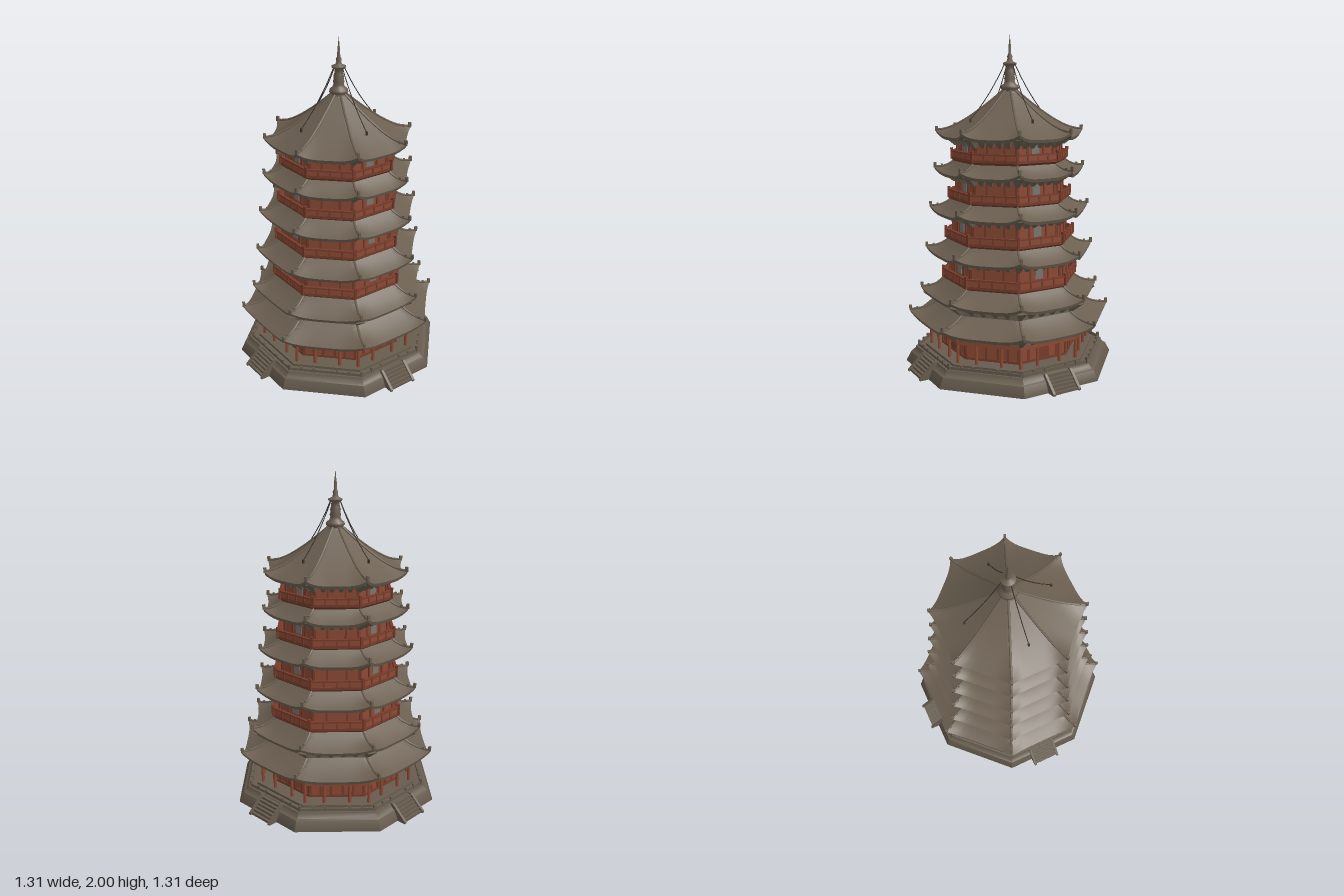
import * as THREE from 'three';
import { mergeGeometries, toCreasedNormals } from 'three/addons/utils/BufferGeometryUtils.js';

const T = Math.tan(Math.PI / 8), C = Math.cos(Math.PI / 8);
const mat = (name, color, side = THREE.FrontSide) => {
  const m = new THREE.MeshStandardMaterial({ color, side });
  m.name = name;
  return m;
};

// Eight-sided loft. Profile points are [apothem, y, cornerLift], from inner top, outwards, down and back in.
function octLoft(profile, n = 1) {
  const pos = [], idx = [], rows = profile.length, v = new THREE.Vector3(), up = new THREE.Vector3(0, 1, 0);
  for (let k = 0; k < 8; k++) {
    const start = pos.length / 3;
    for (const [r, y, lift = 0] of profile) {
      for (let i = 0; i <= n; i++) {
        const u = (i / n) * 2 - 1, e = Math.abs(u) ** 4;
        const rr = r + lift * 0.4 * e;
        v.set(u * rr * T, y + lift * e, rr).applyAxisAngle(up, k * Math.PI / 4);
        pos.push(v.x, v.y, v.z);
      }
    }
    for (let j = 0; j < rows - 1; j++) for (let i = 0; i < n; i++) {
      const a = start + j * (n + 1) + i, c = a + n + 1;
      idx.push(a, c, a + 1, a + 1, c, c + 1);
    }
  }
  const g = new THREE.BufferGeometry();
  g.setAttribute('position', new THREE.Float32BufferAttribute(pos, 3));
  g.setIndex(idx);
  return toCreasedNormals(g, 0.5);
}
const band = (rOut, rIn, y0, y1) => octLoft([[rIn, y1], [rOut, y1], [rOut, y0], [rIn, y0], [rIn, y1]]);

// Copies of a geometry along all eight faces (us: -1..1 across a face) or at the corners
function onFaces(geo, r, us, y, sides = [0, 1, 2, 3, 4, 5, 6, 7]) {
  return mergeGeometries(sides.flatMap(k => us.map(u =>
    geo.clone().translate(u * r * T, y, r).rotateY(k * Math.PI / 4))));
}
function onCorners(geo, r, y) {
  return mergeGeometries([...Array(8).keys()].map(k =>
    geo.clone().translate(0, y, r / C).rotateY((k + 0.5) * Math.PI / 4)));
}
const box = (w, h, d) => new THREE.BoxGeometry(w, h, d);

export function createModel() {
  const model = new THREE.Group();
  model.name = 'pagoda';
  const roofMat = mat('roof tile', 0x6b5f50, THREE.DoubleSide);
  const stoneMat = mat('stone', 0x675c4e);
  const woodMat = mat('red wood', 0x8c4a34);
  const darkWoodMat = mat('dark red wood', 0x783c2b);
  const bracketMat = mat('bracket', 0x6a6051);
  const windowMat = mat('window grey', 0x77766f);
  const ironMat = mat('iron', 0x3a342d);
  const add = (name, geo, material, parent = model) => {
    const m = new THREE.Mesh(geo, material);
    m.name = name;
    parent.add(m);
    return m;
  };

  // Stone terrace
  add('terrace', octLoft([[0.001, 0.095], [0.545, 0.095], [0.55, 0.08], [0.565, 0.065],
    [0.575, 0.06], [0.6, 0.008], [0.6, 0], [0.001, 0]]), stoneMat);
  add('plinth', octLoft([[0.001, 0.11], [0.49, 0.11], [0.49, 0.09]]), stoneMat);
  add('terraceRail', band(0.532, 0.524, 0.092, 0.112), stoneMat);
  add('terracePosts', mergeGeometries([onCorners(box(0.014, 0.04, 0.014), 0.528, 0.11),
    onFaces(box(0.012, 0.034, 0.012), 0.528, [-0.66, -0.33, 0.33, 0.66], 0.107)]), stoneMat);

  // Four stairways with sloping side walls
  const cheek = new THREE.ExtrudeGeometry(new THREE.Shape([[0.53, 0], [0.655, 0], [0.655, 0.012], [0.56, 0.098],
    [0.53, 0.098]].map(p => new THREE.Vector2(...p))), { depth: 0.016, bevelEnabled: false })
    .rotateY(-Math.PI / 2);
  for (let k = 0; k < 4; k++) {
    const stair = new THREE.Group();
    stair.name = 'stairway';
    stair.rotation.y = k * Math.PI / 2;
    for (let i = 0; i < 6; i++) {
      const h = 0.015 * (i + 1), end = 0.645 - i * 0.016;
      add('step', box(0.16, h, end - 0.52).translate(0, h / 2, (end + 0.52) / 2), stoneMat, stair);
    }
    for (const x of [-0.077, 0.093]) add('stairWall', cheek.clone().translate(x, 0, 0), stoneMat, stair);
    model.add(stair);
  }

  // Ground floor: wall, panels and open colonnade
  add('groundWall', octLoft([[0.001, 0.3], [0.39, 0.3], [0.39, 0.1]]), woodMat);
  add('groundWallPosts', onFaces(box(0.014, 0.16, 0.012), 0.39, [-0.98, -0.6, -0.22, 0.22, 0.6, 0.98], 0.18), darkWoodMat);
  add('groundWallSill', band(0.396, 0.38, 0.11, 0.125), darkWoodMat);
  add('doorFrames', onFaces(box(0.075, 0.1, 0.008), 0.39, [0], 0.16, [0, 2, 4, 6]), darkWoodMat);
  const column = new THREE.CylinderGeometry(0.009, 0.01, 0.145, 8);
  add('columns', mergeGeometries([onCorners(column, 0.455, 0.18),
    onFaces(column, 0.455, [-0.4, 0.4], 0.18)]), woodMat);
  add('columnBeam', band(0.463, 0.447, 0.222, 0.25), woodMat);
  add('columnCapBeam', band(0.467, 0.443, 0.25, 0.262), bracketMat);

  // Second roof's short storey
  add('bracketStorey', octLoft([[0.001, 0.47], [0.42, 0.47], [0.42, 0.37]]), bracketMat);

  // Roof skirts: [eave apothem, eave y, top apothem, top y, wall apothem below]
  const roofs = [
    [0.565, 0.282, 0.41, 0.39, 0.455], [0.497, 0.428, 0.375, 0.525, 0.42],
    [0.465, 0.682, 0.35, 0.775, 0.345], [0.44, 0.932, 0.33, 1.025, 0.325],
    [0.412, 1.17, 0.31, 1.26, 0.305], [0.4, 1.388, 0.03, 1.68, 0.295]];
  const wedge = box(0.05, 0.05, 1);
  // Bracket arms widen upwards and reach outwards
  const wp = wedge.attributes.position;
  for (let i = 0; i < wp.count; i++) {
    const top = wp.getY(i) > 0, out = wp.getZ(i) > 0;
    wp.setXYZ(i, wp.getX(i) * (top ? 1 : 0.35), wp.getY(i), out ? (top ? 0.06 : 0.012) : -0.015);
  }
  wedge.computeVertexNormals();
  roofs.forEach(([r, y, rt, yt, rw], i) => {
    const g = new THREE.Group();
    g.name = 'roofTier' + (i + 1);
    const lift = 0.034, slope = [];
    const last = i === 5, steps = last ? 10 : 6;
    for (let s = 0; s <= steps; s++) {
      const t = s / steps, p = last ? 0.72 * t + 0.28 * t * t : 0.6 * t + 0.4 * t * t;
      slope.unshift([r + (rt - r) * t, y + 0.018 + (yt - y - 0.018) * p, lift * (1 - t) ** (last ? 6 : 2)]);
    }
    const under = [[r - 0.006, y, lift], [r - 0.05, y + 0.006, lift * 0.5], [rw - 0.03, y + 0.014, 0]];
    add('roof', octLoft([...slope, ...under], 10), roofMat, g);
    // Hip ridges and upturned tips
    const curve = new THREE.CatmullRomCurve3(slope.map(([a, b, l]) =>
      new THREE.Vector3(0, b + l + 0.003, (a + l * 0.4) / C)));
    add('hipRidges', onCorners(new THREE.TubeGeometry(curve, 12, 0.007, 6), 0, 0), roofMat, g);
    add('ridgeTips', mergeGeometries([onCorners(box(0.014, 0.03, 0.016), r + 0.008, y + 0.062),
      onCorners(box(0.01, 0.018, 0.012), r - 0.03, y + 0.058)]), roofMat, g);
    // Bracket sets under the eave
    add('brackets', mergeGeometries([onFaces(wedge, rw, [-0.62, -0.21, 0.21, 0.62], y - 0.012),
      onCorners(wedge.clone().scale(1.1, 1.1, 1.4), rw, y - 0.01)]), bracketMat, g);
    add('bracketBeam', band(rw + 0.012, rw - 0.02, y - 0.006, y + 0.02), bracketMat, g);
    model.add(g);
  });

  // Upper storeys: [balcony apothem, balcony y, rail top y, wall apothem, wall top y]
  const storeys = [[0.385, 0.535, 0.6, 0.345, 0.7], [0.367, 0.785, 0.847, 0.325, 0.95],
    [0.346, 1.03, 1.09, 0.305, 1.19], [0.328, 1.268, 1.325, 0.295, 1.41]];
  storeys.forEach(([r, y, yr, rw, yw], i) => {
    const g = new THREE.Group();
    g.name = 'storey' + (i + 3);
    add('wall', octLoft([[0.001, yw], [rw, yw], [rw, y - 0.03]]), woodMat, g);
    add('wallPosts', onFaces(box(0.012, yw - y - 0.02, 0.012), rw, [-0.97, -0.42, 0.42, 0.97], (y + yw) / 2), darkWoodMat, g);
    add('windows', onFaces(box(0.05, 0.06, 0.008), rw, [0], yr + 0.02, [0, 2, 4, 6]), windowMat, g);
    add('balconyFloor', octLoft([[rw - 0.02, y + 0.016], [r, y + 0.016], [r, y], [rw + 0.005, y - 0.03]]), darkWoodMat, g);
    add('balconyBrackets', mergeGeometries([
      onFaces(wedge.clone().scale(0.7, 0.6, 0.6), r - 0.04, [-0.75, -0.25, 0.25, 0.75], y - 0.012),
      onCorners(wedge.clone().scale(0.7, 0.6, 0.6), r - 0.04, y - 0.012)]), woodMat, g);
    add('railPanel', band(r - 0.002, r - 0.01, y + 0.01, yr - 0.014), woodMat, g);
    add('railTop', band(r + 0.004, r - 0.014, yr - 0.014, yr - 0.005), darkWoodMat, g);
    add('railPosts', mergeGeometries([onCorners(box(0.016, yr - y + 0.008, 0.016), r - 0.002, (y + yr) / 2 + 0.006),
      onFaces(box(0.01, yr - y - 0.004, 0.012), r - 0.004, [-0.5, 0, 0.5], (y + yr) / 2)]), darkWoodMat, g);
    model.add(g);
  });

  // Finial
  const finial = [[0.06, 1.645], [0.05, 1.665], [0.04, 1.67], [0.056, 1.685], [0.054, 1.7], [0.036, 1.715], [0.03, 1.73],
    [0.034, 1.745], [0.029, 1.76], [0.032, 1.775], [0.026, 1.79], [0.024, 1.815], [0.042, 1.828], [0.042, 1.836],
    [0.02, 1.845], [0.014, 1.86], [0.016, 1.875], [0.009, 1.89], [0.008, 1.93], [0.004, 1.96], [0.0005, 2]];
  add('finial', new THREE.LatheGeometry(finial.map(p => new THREE.Vector2(...p)), 16), roofMat);

  // Stay chains from the finial to the roof
  const chain = new THREE.QuadraticBezierCurve3(new THREE.Vector3(0, 1.832, 0.035),
    new THREE.Vector3(0, 1.64, 0.135), new THREE.Vector3(0, 1.508, 0.265));
  for (let k = 0; k < 4; k++) {
    const g = new THREE.Group();
    g.name = 'stayChain';
    g.rotation.y = k * Math.PI / 2;
    add('chain', new THREE.TubeGeometry(chain, 12, 0.0028, 5), ironMat, g);
    add('anchor', box(0.01, 0.022, 0.01).translate(0, 1.502, 0.265), ironMat, g);
    model.add(g);
  }
  return model;
}
